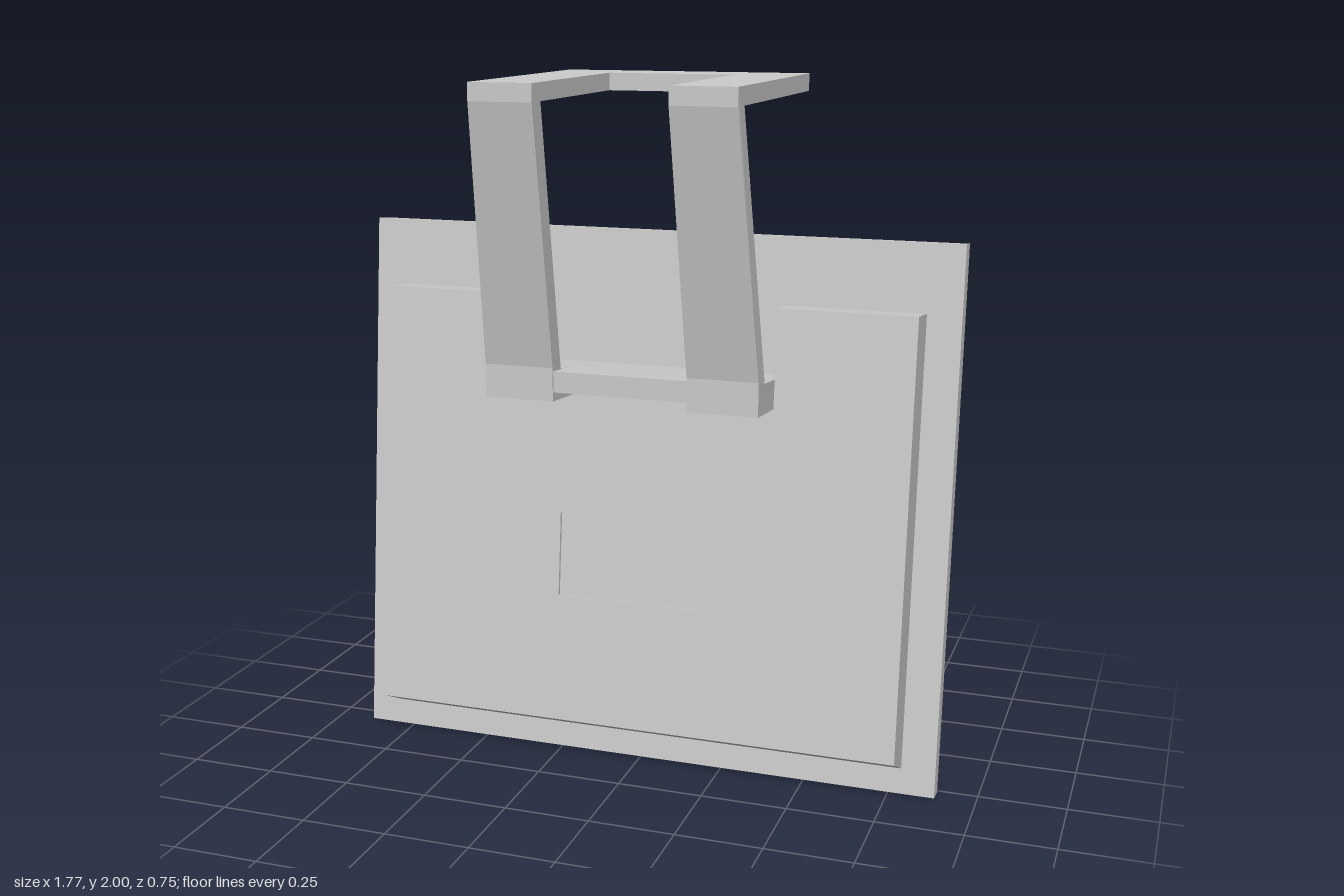
import * as THREE from 'three';

const material = new THREE.MeshStandardMaterial({ color: 0xcccccc, flatShading: true });

function addMesh(parent, name, geometry) {
  const mesh = new THREE.Mesh(geometry, material);
  mesh.name = name;
  parent.add(mesh);
  return mesh;
}

function box(parent, name, [x0, x1], [y0, y1], [z0, z1]) {
  const mesh = addMesh(parent, name, new THREE.BoxGeometry(x1 - x0, y1 - y0, z1 - z0));
  mesh.position.set((x0 + x1) / 2, (y0 + y1) / 2, (z0 + z1) / 2);
  return mesh;
}

const outline = (points) => points.map(([a, b]) => new THREE.Vector2(a, b));

const rect = (x0, x1, y0, y1) => outline([[x0, y0], [x1, y0], [x1, y1], [x0, y1]]);

// Front outline with an optional opening, extruded from z0 to z1
function slab(points, hole, z0, z1) {
  const shape = new THREE.Shape(points);
  shape.holes.push(new THREE.Path(hole));
  const geometry = new THREE.ExtrudeGeometry(shape, { depth: z1 - z0, bevelEnabled: false });
  return geometry.translate(0, 0, z0);
}

// Side profile of [z, y] points, spanning xLow(y) to xHigh(y)
function sideProfile(points, xLow, xHigh) {
  const geometry = new THREE.ExtrudeGeometry(new THREE.Shape(outline(points)), { depth: 1, bevelEnabled: false });
  geometry.rotateY(-Math.PI / 2);
  const p = geometry.attributes.position;
  for (let i = 0; i < p.count; i++) {
    p.setX(i, p.getX(i) < -0.5 ? xLow(p.getY(i)) : xHigh(p.getY(i)));
  }
  geometry.computeVertexNormals();
  return geometry;
}

export function createModel() {
  const model = new THREE.Group();
  model.name = 'monitor';

  // Tilted display
  const display = new THREE.Group();
  display.name = 'display';
  display.position.z = 0.01;
  display.rotation.x = -0.1036;
  model.add(display);

  // Bezel and recessed screen, facing the back
  addMesh(display, 'bezel', slab(rect(-0.885, 0.885, 0, 1.568), rect(-0.785, 0.785, 0.045, 1.425), 0, 0.055));
  box(display, 'screen', [-0.785, 0.785], [0.045, 1.425], [0.02, 0.055]);

  // Row of buttons
  for (let i = 0; i < 4; i++) {
    const x = -0.16 + i * 0.14;
    box(display, 'button', [x - 0.037, x + 0.037], [1.492, 1.512], [-0.008, 0.005]);
  }

  // Housing with a notch for the stand, a label recess and a sloped lower edge
  const housingOutline = outline([
    [-0.787, 0.122], [0.787, 0.122], [0.787, 1.374], [0.395, 1.374],
    [0.395, 1.178], [-0.395, 1.178], [-0.395, 1.374], [-0.787, 1.374],
  ]);
  const housing = slab(housingOutline, rect(-0.225, 0.225, 0.499, 0.746), 0.055, 0.178);
  const p = housing.attributes.position;
  for (let i = 0; i < p.count; i++) {
    if (p.getY(i) < 0.2 && p.getZ(i) < 0.1) p.setY(i, 0.075);
  }
  housing.computeVertexNormals();
  addMesh(display, 'housing', housing);
  box(display, 'labelRecess', [-0.225, 0.225], [0.499, 0.746], [0.055, 0.168]);

  // Stand legs: foot lug, leaning upright and flat top rail, narrowing upwards
  const stand = new THREE.Group();
  stand.name = 'stand';
  model.add(stand);
  const legProfile = [
    [0.05, 1.105], [0.235, 1.12], [0.235, 1.215], [0.375, 1.95], [0.375, 2],
    [-0.375, 2], [-0.375, 1.95], [0.315, 1.95], [0.172, 1.2], [0.05, 1.188],
  ];
  const rise = (y) => THREE.MathUtils.clamp((y - 1.2) / 0.75, 0, 1);
  const outer = (y) => 0.397 - 0.027 * rise(y);
  const inner = (y) => 0.195 - 0.008 * rise(y);
  addMesh(stand, 'leftLeg', sideProfile(legProfile, inner, outer));
  addMesh(stand, 'rightLeg', sideProfile(legProfile, (y) => -outer(y), (y) => -inner(y)));

  // Cross pieces joining the legs
  box(stand, 'rearBar', [-0.187, 0.187], [1.95, 2], [-0.375, -0.22]);
  const bracketProfile = [[0.05, 1.128], [0.23, 1.145], [0.23, 1.205], [0.05, 1.188]];
  addMesh(stand, 'bracket', sideProfile(bracketProfile, () => -0.195, () => 0.195));

  return model;
}
